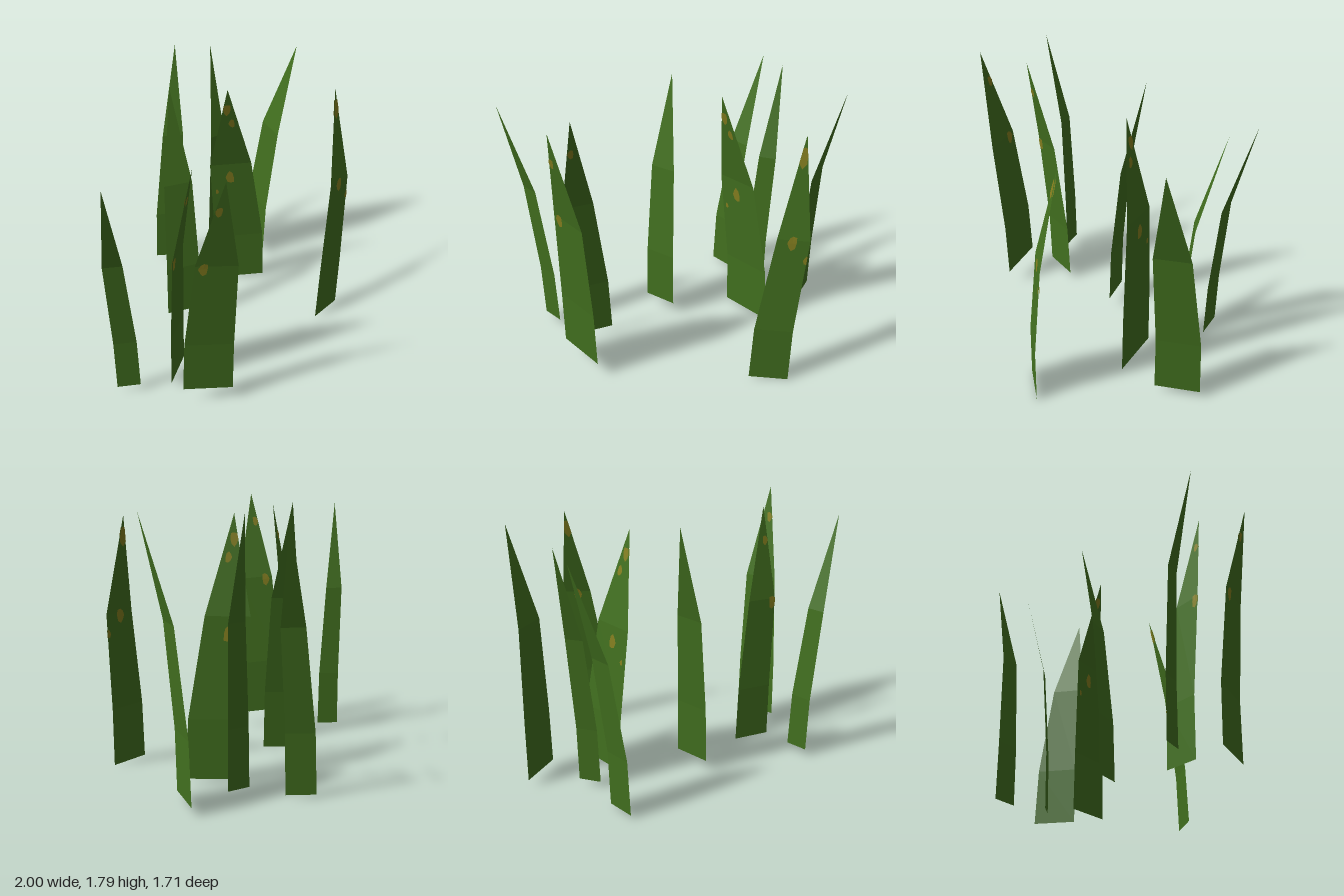
import * as THREE from 'three';

const leafGreen = new THREE.MeshStandardMaterial({ color: 0x42701f, side: THREE.DoubleSide });
leafGreen.name = 'leaf green';
const spotOlive = new THREE.MeshStandardMaterial({ color: 0x86801f, side: THREE.DoubleSide });
spotOlive.name = 'olive spot';

// Shared blade profile at base, knee, shoulder and tip
const RISE = [0, .39, 1.04, 1.67];
const WIDTH = [1, .96, .78, 0];
const KNEE_BEND = .13;

// base: centre x, y, z; across: x, z from left to right edge; shoulder, tip: centre x, z
// tilt: how much higher the right edge is
// spots: position along the blade 0..3, position across 0..1, half height
const BLADES = [
  { base: [-.15, .083, -.04], across: [.22, .09], shoulder: [-.138, -.103], tip: [-.105, -.225], tilt: .015 },
  { base: [.163, .02, -.697], across: [.163, .097], shoulder: [.253, -.73], tip: [.375, -.858] },
  { base: [.453, .04, -.454], across: [.15, .005], shoulder: [.496, -.51], tip: [.537, -.662] },
  { base: [.815, .05, -.427], across: [.06, -.285], shoulder: [.857, -.353], tip: [1, -.285] },
  { base: [.455, .018, -.172], across: [.315, .186], shoulder: [.352, -.175], tip: [.25, -.095], tilt: .01,
    spots: [[1.83, .45, .05], [2.57, .65, .035], [1.65, .12, .02], [2.75, .35, .045]] },
  { base: [.736, .006, .49], across: [.248, -.05], shoulder: [.816, .413], tip: [.828, .278], tilt: -.012,
    spots: [[1.97, .48, .048], [2.8, .4, .065], [1.8, .98, .03]] },
  { base: [-.84, .05, .31], across: [.134, .07], shoulder: [-.905, .336], tip: [-1, .46] },
  { base: [-.502, .05, .38], across: [.205, -.15], shoulder: [-.528, .45], tip: [-.493, .555],
    spots: [[1.96, .1, .046], [2.64, .3, .033]] },
  { base: [-.478, .118, .683], across: [.28, .152], shoulder: [-.47, .749], tip: [-.5, .857], tilt: -.028,
    spots: [[1.97, .2, .047], [2.67, .25, .036]] },
];

// Point on a blade, s along it (0..3) and u across it (0..1)
function pointOn({ base, across, shoulder, tip, tilt = 0 }, s, u) {
  const i = Math.min(2, Math.floor(s)), f = s - i;
  const foot = [base[0], base[2]];
  const knee = foot.map((v, k) => THREE.MathUtils.lerp(v, shoulder[k], KNEE_BEND));
  const spine = [foot, knee, shoulder, tip];
  const mix = (list, pick = (v) => v) => THREE.MathUtils.lerp(pick(list[i]), pick(list[i + 1]), f);
  const w = mix(WIDTH) * (u - .5);
  return new THREE.Vector3(
    mix(spine, (p) => p[0]) + across[0] * w,
    base[1] + mix(RISE) + tilt * w,
    mix(spine, (p) => p[1]) + across[1] * w,
  );
}

function triangles(points) {
  const geo = new THREE.BufferGeometry().setFromPoints(points);
  geo.computeVertexNormals();
  return geo;
}

// Thin leaf sheet: two bent panels and a pointed end
function bladeGeometry(blade) {
  const pts = [];
  for (let k = 0; k < 3; k++) {
    const a = pointOn(blade, k, 0), b = pointOn(blade, k, 1);
    const c = pointOn(blade, k + 1, 1), d = pointOn(blade, k + 1, 0);
    pts.push(a, b, c);
    if (k < 2) pts.push(a, c, d);
  }
  return triangles(pts);
}

// Irregular blotch lying just off one face of the blade
function spotGeometry(blade, [s, u, size], side) {
  const across = pointOn(blade, s, 1).sub(pointOn(blade, s, 0));
  const along = pointOn(blade, s + .01, u).sub(pointOn(blade, s - .01, u));
  const lift = across.clone().cross(along).normalize().multiplyScalar(.004 * side);
  const n = 8, pts = [];
  const rim = (k) => {
    const a = k / n * Math.PI * 2, r = size * (1 + .13 * Math.sin(3 * a + s * 9));
    const s2 = Math.min(2.98, s + Math.sin(a) * r / .64);
    const width = pointOn(blade, s2, 0).distanceTo(pointOn(blade, s2, 1));
    const u2 = THREE.MathUtils.clamp(u + Math.cos(a) * r * .58 / width, 0, 1);
    return pointOn(blade, s2, u2).add(lift);
  };
  const centre = pointOn(blade, s, u).add(lift);
  for (let k = 0; k < n; k++) pts.push(centre, rim(k), rim(k + 1));
  return triangles(pts);
}

export function createModel() {
  const model = new THREE.Group();
  model.name = 'grassBlades';
  BLADES.forEach((blade, i) => {
    const group = new THREE.Group();
    group.name = `grassBlade${i + 1}`;
    const leaf = new THREE.Mesh(bladeGeometry(blade), leafGreen);
    leaf.name = 'leaf';
    group.add(leaf);
    for (const spot of blade.spots ?? []) {
      for (const side of [1, -1]) {
        const mesh = new THREE.Mesh(spotGeometry(blade, spot, side), spotOlive);
        mesh.name = 'leafSpot';
        group.add(mesh);
      }
    }
    model.add(group);
  });
  return model;
}
